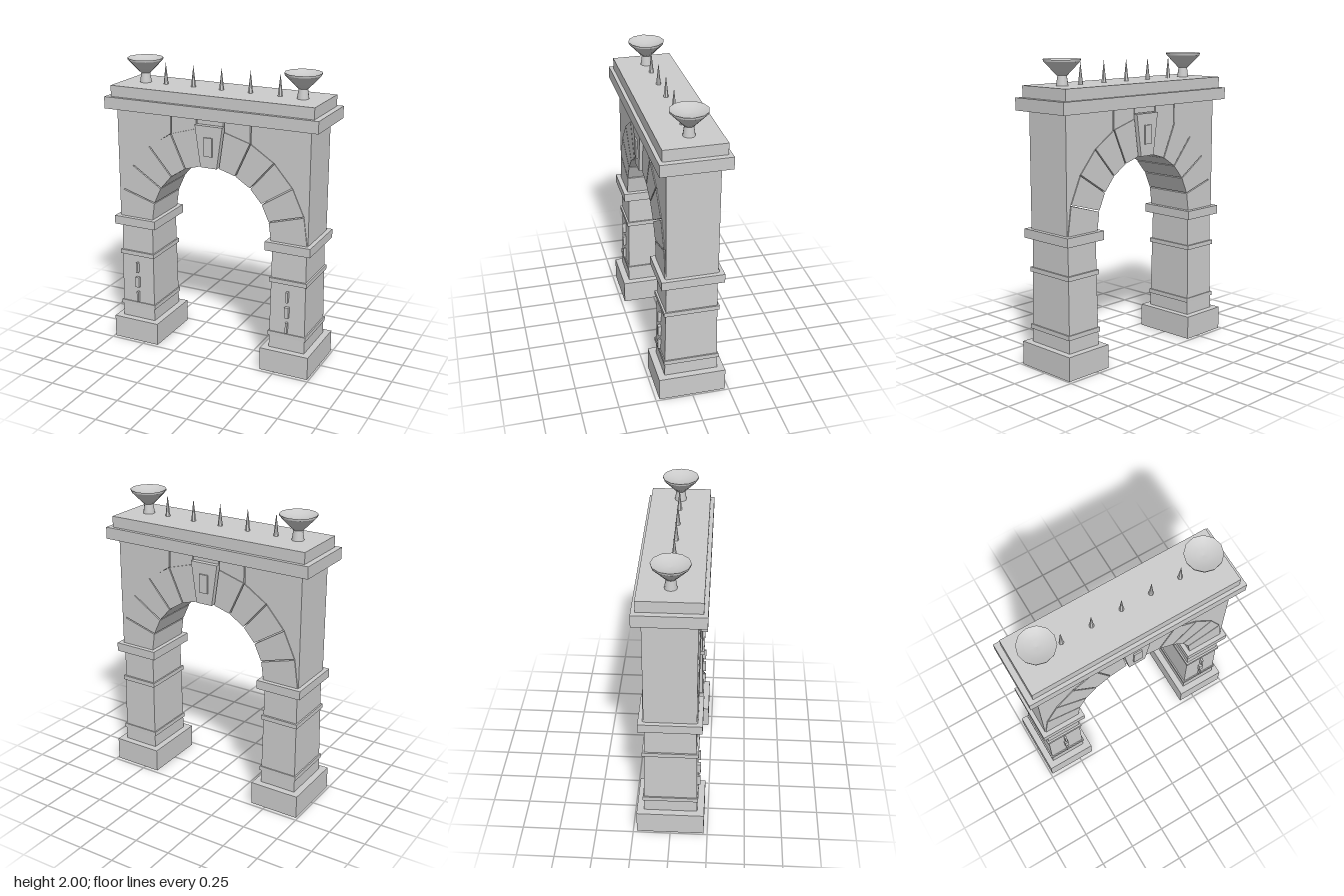
import * as THREE from 'three';

const stone = new THREE.MeshStandardMaterial({ color: 0xcccccc });
stone.name = 'grey stone';

function add(parent, name, geometry, x = 0, y = 0, z = 0) {
  const mesh = new THREE.Mesh(geometry, stone);
  mesh.name = name;
  mesh.position.set(x, y, z);
  parent.add(mesh);
  return mesh;
}

// Box given by centre x, bottom and top y, half width and half depth
function block(parent, name, x, y0, y1, hw, hd, z = 0) {
  return add(parent, name, new THREE.BoxGeometry(hw * 2, y1 - y0, hd * 2), x, (y0 + y1) / 2, z);
}

// Outline in x,y extruded evenly to both sides of z = 0
function slab(parent, name, points, halfDepth) {
  const shape = new THREE.Shape(points.map(([x, y]) => new THREE.Vector2(x, y)));
  const geometry = new THREE.ExtrudeGeometry(shape, { depth: halfDepth * 2, bevelEnabled: false });
  geometry.translate(0, 0, -halfDepth);
  return add(parent, name, geometry);
}

const SPRING = 0.92, INNER = 0.44, OUTER = 0.69, STONES = 11, GAP = 0.004;
const STEP = Math.PI / STONES;
const SPANDREL_TOP = 1.68;

// Point on the arch, moved sideways from its radial line by shift
function archPoint(radius, angle, shift = 0) {
  return [
    radius * Math.cos(angle) - shift * Math.sin(angle),
    SPRING + radius * Math.sin(angle) + shift * Math.cos(angle),
  ];
}

function buildPier(side) {
  const pier = new THREE.Group();
  pier.name = side > 0 ? 'leftPier' : 'rightPier';
  const x = side * 0.567;
  block(pier, 'plinth', x, 0, 0.16, 0.172, 0.225);

  // Shaft narrows slightly toward the top
  const shaft = block(pier, 'shaft', x, 0.16, 0.86, 0.127, 0.179);
  const p = shaft.geometry.attributes.position;
  for (let i = 0; i < p.count; i++) {
    if (p.getY(i) > 0) p.setXYZ(i, p.getX(i) * 0.94, p.getY(i), p.getZ(i) * 0.93);
  }
  shaft.geometry.computeVertexNormals();

  block(pier, 'lowerBand', x, 0.25, 0.28, 0.135, 0.184);
  block(pier, 'upperBand', x, 0.635, 0.665, 0.132, 0.183);
  block(pier, 'impost', x, 0.86, SPRING, 0.157, 0.205);

  // Three raised strips on the front only
  [[0.29, 0.365, 0.007], [0.4, 0.475, 0.014], [0.51, 0.585, 0.007]].forEach(([y0, y1, hw]) =>
    block(pier, 'frontStrip', x, y0, y1, hw, 0.012, 0.183));
  return pier;
}

function buildArch() {
  const arch = new THREE.Group();
  arch.name = 'arch';
  const middle = (STONES - 1) / 2;
  for (let i = 0; i < STONES; i++) {
    const a = i * STEP, b = a + STEP;
    const key = i === middle;
    const outer = key ? 0.722 : OUTER;
    const startGap = i === 0 ? 0 : GAP;
    const endGap = i === STONES - 1 ? 0 : -GAP;
    slab(arch, key ? 'keystone' : 'archStone', [
      archPoint(INNER, a, startGap), archPoint(outer, a, startGap),
      archPoint(outer, b, endGap), archPoint(INNER, b, endGap),
    ], key ? 0.195 : 0.175);
  }
  // Small raised panel on both faces of the keystone
  for (const s of [1, -1]) block(arch, 'keystonePanel', 0, 1.435, 1.56, 0.03, 0.008, s * 0.198);
  return arch;
}

function buildSpandrels() {
  const wall = new THREE.Group();
  wall.name = 'spandrelWall';
  const joint = archPoint(OUTER, 4 * STEP);
  const crown = archPoint(OUTER, 5 * STEP);
  for (const s of [1, -1]) {
    const outline = [];
    for (let k = 0; k <= 4; k++) outline.push(archPoint(OUTER, k * STEP));
    outline[4][0] += GAP;
    outline.push([joint[0] + GAP, SPANDREL_TOP], [0.695, SPANDREL_TOP], [0.695, SPRING]);
    slab(wall, 'outerSpandrel', outline.map(([x, y]) => [s * x, y]), 0.169);
    slab(wall, 'innerSpandrel', [
      [joint[0] - GAP, joint[1]], [joint[0] - GAP, SPANDREL_TOP],
      [crown[0] + GAP, SPANDREL_TOP], [crown[0] + GAP, crown[1]],
    ].map(([x, y]) => [s * x, y]), 0.169);
  }
  block(wall, 'crownFiller', 0, 1.638, SPANDREL_TOP, crown[0] - GAP, 0.169);
  return wall;
}

function buildBrazier(side) {
  const brazier = new THREE.Group();
  brazier.name = side > 0 ? 'leftBrazier' : 'rightBrazier';
  brazier.position.set(side * 0.567, 1.83, 0);
  add(brazier, 'stem', new THREE.CylinderGeometry(0.029, 0.04, 0.075, 12), 0, 0.0375, 0);
  const lathe = (name, pts) =>
    add(brazier, name, new THREE.LatheGeometry(pts.map(([r, y]) => new THREE.Vector2(r, y)), 12));
  // Outer bowl, rim and shallow dish
  lathe('bowl', [[0, 0.07], [0.034, 0.07], [0.075, 0.112], [0.118, 0.156]]);
  lathe('rim', [[0.118, 0.156], [0.121, 0.17]]);
  lathe('dish', [[0.121, 0.17], [0.08, 0.154], [0.04, 0.146], [0, 0.143]]);
  return brazier;
}

export function createModel() {
  const model = new THREE.Group();
  model.name = 'stoneArchway';
  for (const s of [1, -1]) model.add(buildPier(s), buildBrazier(s));
  model.add(buildArch(), buildSpandrels());

  // Stepped top
  block(model, 'cornice', 0, SPANDREL_TOP, 1.76, 0.76, 0.225);
  block(model, 'attic', 0, 1.76, 1.835, 0.722, 0.2);

  // Row of spikes
  const spike = new THREE.ConeGeometry(0.017, 0.15, 6).toNonIndexed();
  spike.computeVertexNormals();
  for (let i = -2; i <= 2; i++) add(model, 'spike', spike, i * 0.206, 1.905, 0);
  return model;
}
